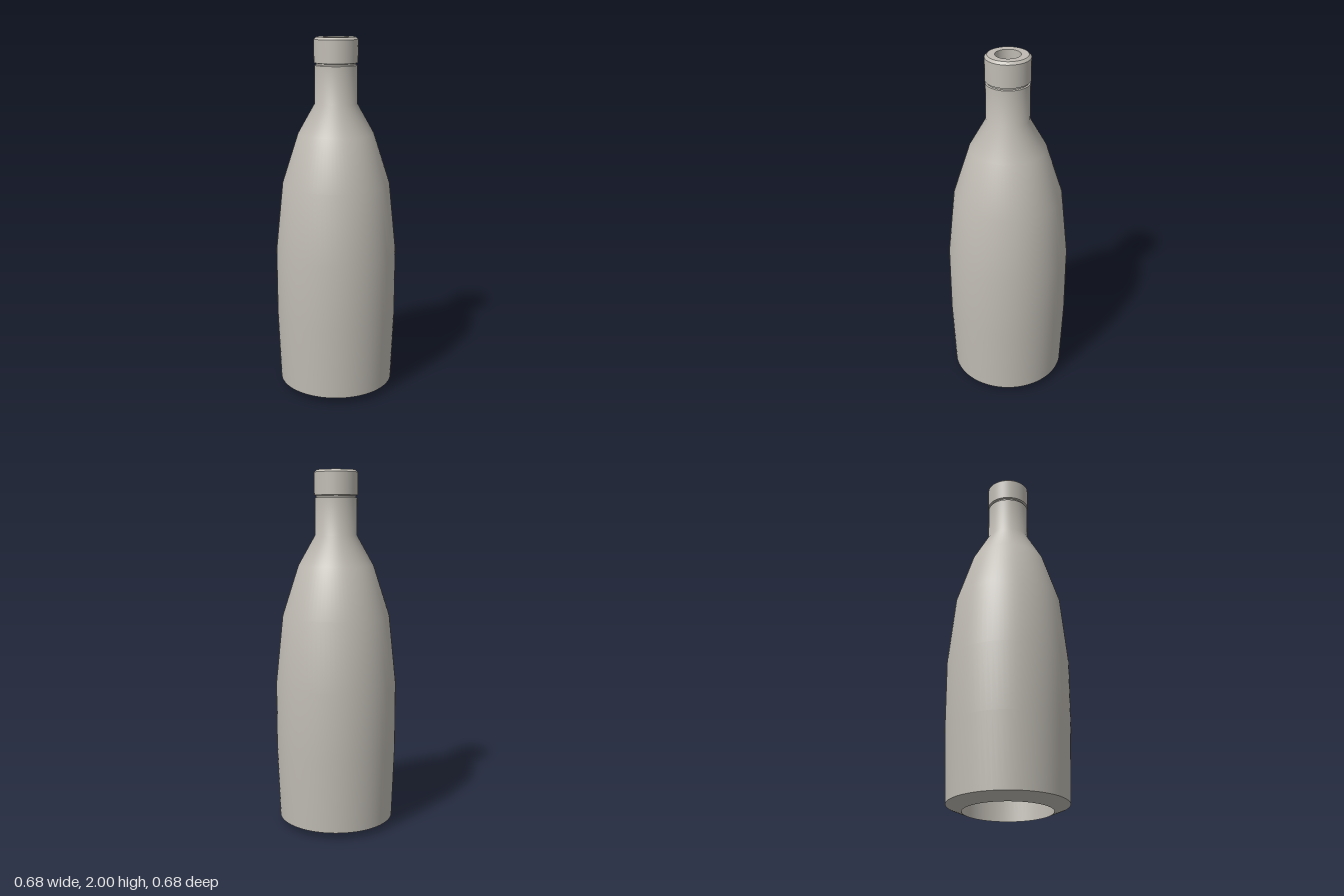
import * as THREE from 'three';

export function createModel() {
  const bottle = new THREE.Group();
  bottle.name = 'bottle';
  const stoneware = new THREE.MeshStandardMaterial({ color: 0xbfbbb3, side: THREE.DoubleSide });
  stoneware.name = 'warm grey';

  // Each profile is one smooth band; separate bands keep the edges between them crisp.
  const band = (name, profile) => {
    const points = profile.map(([r, y]) => new THREE.Vector2(r, y));
    const mesh = new THREE.Mesh(new THREE.LatheGeometry(points, 72), stoneware);
    mesh.name = name;
    bottle.add(mesh);
  };

  // Outside, from the foot up
  band('footBevel', [[0.24, 0], [0.325, 0.035]]);
  band('body', [
    [0.325, 0.035], [0.34, 0.44], [0.34, 0.82], [0.3, 1.2],
    [0.21, 1.48], [0.117, 1.645], [0.117, 1.85],
  ]);

  // Groove under the lip
  band('grooveLower', [[0.117, 1.85], [0.109, 1.853]]);
  band('grooveWall', [[0.109, 1.853], [0.109, 1.861]]);
  band('grooveUpper', [[0.109, 1.861], [0.12, 1.864]]);

  // Lip with a bevelled rim
  band('lip', [[0.12, 1.864], [0.12, 1.987]]);
  band('lipBevel', [[0.12, 1.987], [0.107, 2]]);
  band('rim', [[0.107, 2], [0.067, 2]]);

  // Inside, from the mouth down to the open foot
  band('innerWall', [
    [0.067, 2], [0.067, 1.64], [0.15, 1.46], [0.23, 1.2],
    [0.265, 0.82], [0.265, 0.44], [0.24, 0],
  ]);

  return bottle;
}
